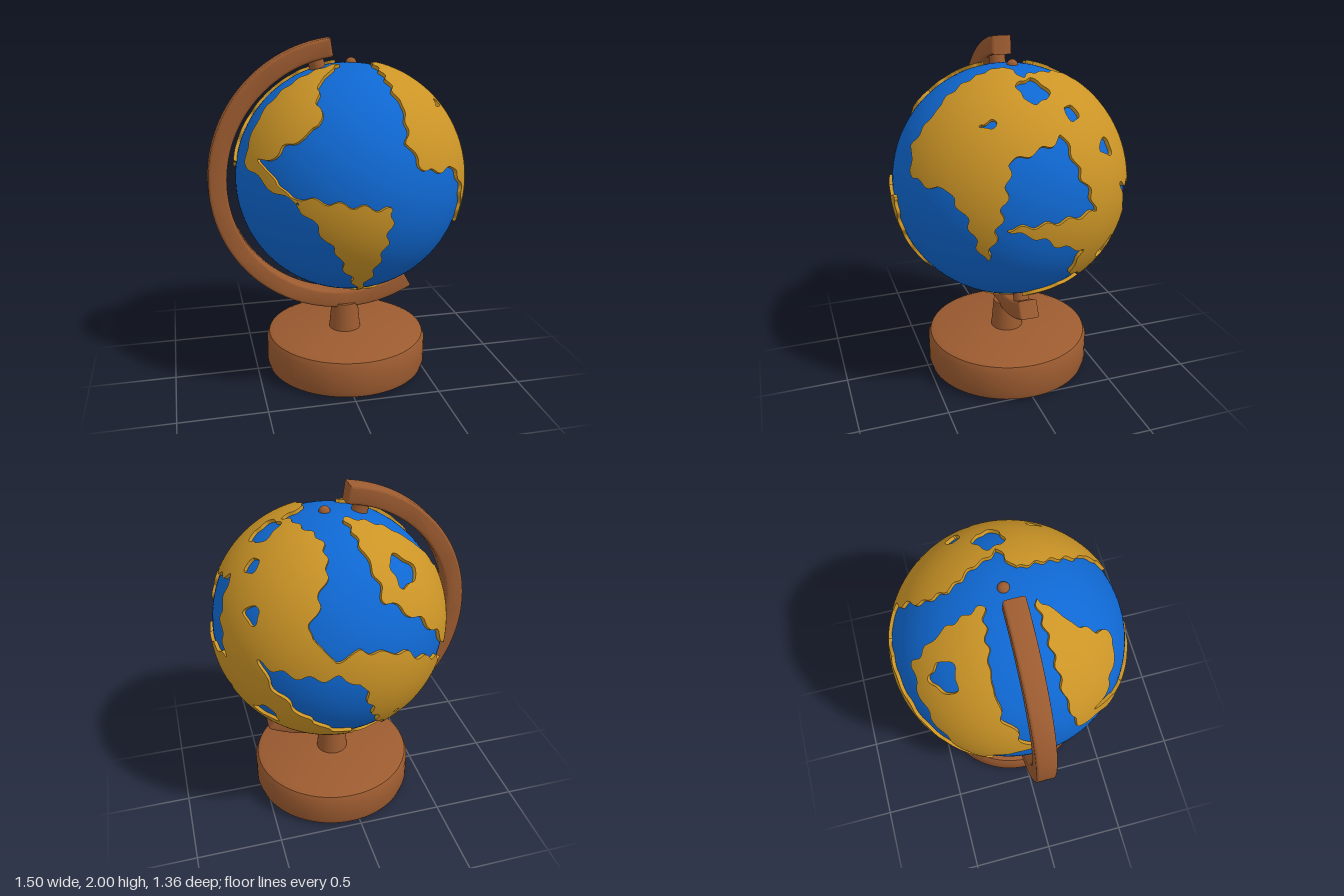
import * as THREE from 'three';
import { mergeVertices, toCreasedNormals } from 'three/addons/utils/BufferGeometryUtils.js';

const CENTRE = new THREE.Vector3(0.068, 1.2, 0);
const OCEAN_R = 0.66, LAND_R = 0.679;
const rad = THREE.MathUtils.degToRad;

// A coast chart is a flat disc (centre cx, cy, radius r) facing a heading and elevation.
// Outlines are x, y pairs; three numbers make a round island or lake (x, y, radius).
function chart(heading, elevation, cx, cy, r, land, sea) {
  const a = rad(heading), e = rad(elevation);
  const out = new THREE.Vector3(Math.sin(a) * Math.cos(e), Math.sin(e), Math.cos(a) * Math.cos(e));
  const right = new THREE.Vector3(Math.cos(a), 0, -Math.sin(a));
  return { cx, cy, r, land, sea, out, right, up: new THREE.Vector3().crossVectors(out, right) };
}

const americas = chart(0, 0, 252, 186, 127, [
  [240, 58, 206, 78, 213, 104, 148, 152, 180, 188, 115, 150],
  [174, 178, 267, 190, 262, 228, 246, 294, 214, 235],
  [276, 60, 350, 103, 284, 88],
  [290, 98, 380, 110, 355, 232, 350, 165, 302, 157, 283, 130],
], []);
const africaAsia = chart(90, 0, 686, 186, 127, [
  [590, 88, 680, 56, 770, 90, 815, 160, 785, 278, 712, 276, 728, 228, 645, 192, 735, 186, 704, 113, 650, 132, 628, 231, 597, 155, 571, 140],
], [[783, 188, 16], [636, 94, 10], [725, 93, 9], [756, 131, 9], [748, 239, 11]]);
const arctic = chart(0, 90, 1152, 224, 168, [
  [1005, 170, 1080, 85, 1120, 85, 1140, 190],
  [985, 265, 1135, 252, 1098, 290, 1072, 362],
  [1175, 55, 1285, 110, 1328, 220, 1197, 378, 1178, 240, 1212, 226, 1176, 152],
], [[1237, 220, 20], [1075, 131, 14], [1266, 180, 12], [1270, 295, 14]]);
const pacific = chart(213, 23, 678, 638, 115, [
  [556, 650, 572, 568, 640, 528, 601, 600],
  [615, 645, 690, 686, 738, 709, 690, 752, 612, 738, 574, 682],
  [648, 616, 664, 549, 700, 560, 771, 645, 727, 691],
], [[682, 600, 14]]);
const southern = chart(147, -28, 1125, 634, 115, [
  [1005, 625, 1035, 562, 1125, 517, 1220, 585, 1098, 570, 1170, 665, 1166, 690, 1069, 656],
  [1195, 610, 1214, 605, 1198, 710],
  [1176, 704, 12], [1100, 711, 36],
], [[1098, 632, 12], [1076, 722, 15]]);
const CHARTS = [americas, africaAsia, arctic, pacific, southern];

// Distance to an outline or disc, positive inside
function signedDistance(shape, x, y) {
  if (shape.length === 3) return shape[2] - Math.hypot(x - shape[0], y - shape[1]);
  let best = Infinity, inside = false;
  for (let i = 0, j = shape.length - 2; i < shape.length; j = i, i += 2) {
    const ax = shape[j], ay = shape[j + 1], dx = shape[i] - ax, dy = shape[i + 1] - ay;
    const t = THREE.MathUtils.clamp(((x - ax) * dx + (y - ay) * dy) / (dx * dx + dy * dy), 0, 1);
    best = Math.min(best, Math.hypot(x - ax - t * dx, y - ay - t * dy));
    if ((ay > y) !== (shape[i + 1] > y) && x < ax + dx * (y - ay) / dy) inside = !inside;
  }
  return inside ? best : -best;
}

// Land field over the sphere: wavy-edged charts blended by how squarely they face d
function landField(d) {
  let sum = 0, total = 0;
  for (const c of CHARTS) {
    const facing = d.dot(c.out);
    const u = c.cx + d.dot(c.right) * c.r, v = c.cy - d.dot(c.up) * c.r;
    const x = u + 2.5 * Math.sin(v * 0.3), y = v + 2.5 * Math.sin(u * 0.27);
    let f = -Infinity;
    for (const p of c.land) f = Math.max(f, signedDistance(p, x, y));
    for (const p of c.sea) f = Math.min(f, -signedDistance(p, x, y));
    const w = Math.exp(14 * facing);
    sum += w * THREE.MathUtils.clamp(f / c.r, -0.07, 0.07);
    total += w;
  }
  return sum / total;
}

// Raised continents: sphere triangles clipped at the coast, with a cliff along it
function continentGeometry() {
  let ball = new THREE.IcosahedronGeometry(1, 56);
  ball.deleteAttribute('uv');
  ball.deleteAttribute('normal');
  ball = mergeVertices(ball, 1e-5);
  const dirs = [], field = [], pos = [], nor = [];
  for (let i = 0; i < ball.attributes.position.count; i++) {
    dirs.push(new THREE.Vector3().fromBufferAttribute(ball.attributes.position, i).normalize());
    field.push(landField(dirs[i]));
  }
  const put = (d, r, n) => { pos.push(d.x * r, d.y * r, d.z * r); nor.push(n.x, n.y, n.z); };
  const index = ball.index.array, foot = OCEAN_R - 0.02;
  for (let t = 0; t < index.length; t += 3) {
    const ring = [];
    for (let k = 0; k < 3; k++) {
      const a = index[t + k], b = index[t + (k + 1) % 3];
      if (field[a] > 0) ring.push({ d: dirs[a] });
      if ((field[a] > 0) !== (field[b] > 0))
        ring.push({ d: dirs[a].clone().lerp(dirs[b], field[a] / (field[a] - field[b])).normalize(), coast: true });
    }
    for (let k = 1; k + 1 < ring.length; k++)
      for (const v of [ring[0], ring[k], ring[k + 1]]) put(v.d, LAND_R, v.d);
    for (let k = 0; k < ring.length; k++) {
      const a = ring[k], b = ring[(k + 1) % ring.length];
      if (!a.coast || !b.coast) continue;
      const n = b.d.clone().sub(a.d).cross(a.d).normalize();
      for (const [v, r] of [[a, foot], [b, foot], [b, LAND_R], [a, foot], [b, LAND_R], [a, LAND_R]]) put(v.d, r, n);
    }
  }
  const geo = new THREE.BufferGeometry();
  geo.setAttribute('position', new THREE.Float32BufferAttribute(pos, 3));
  geo.setAttribute('normal', new THREE.Float32BufferAttribute(nor, 3));
  return geo;
}

export function createModel() {
  const group = new THREE.Group();
  const material = (name, color, side = THREE.FrontSide) => Object.assign(new THREE.MeshStandardMaterial({ color, side }), { name });
  const wood = material('wood brown', 0x9c5b30);
  const water = material('ocean blue', 0x0f68d2);
  const gold = material('land gold', 0xcb9426, THREE.DoubleSide);
  const add = (name, geo, mat, x, y, z = 0) => {
    const mesh = new THREE.Mesh(geo, mat);
    mesh.name = name;
    mesh.position.set(x, y, z);
    group.add(mesh);
    return mesh;
  };

  // Globe
  add('ocean', new THREE.SphereGeometry(OCEAN_R, 96, 64), water, ...CENTRE);
  add('continents', continentGeometry(), gold, ...CENTRE);
  add('topNub', new THREE.SphereGeometry(0.032, 16, 12), wood, 0.086, 1.855, -0.018);

  // Curved arm
  const from = rad(98.5), to = rad(298.5), bevel = 0.015;
  const arc = new THREE.Shape();
  arc.absarc(0, 0, 0.81 - bevel, from, to, false);
  arc.absarc(0, 0, 0.705 + bevel, to, from, true);
  const arm = new THREE.ExtrudeGeometry(arc, { depth: 0.086, bevelSize: bevel, bevelThickness: bevel, bevelSegments: 3, curveSegments: 56 });
  arm.translate(0, 0, -0.043);
  add('arm', toCreasedNormals(arm, 0.6), wood, 0.06, 1.195);

  // Pins joining the arm to the globe
  for (const [name, deg] of [['upperPin', 105], ['lowerPin', 291]]) {
    const a = rad(deg);
    const pin = add(name, new THREE.CylinderGeometry(0.045, 0.045, 0.12, 24), wood, 0.06 + 0.69 * Math.cos(a), 1.195 + 0.69 * Math.sin(a));
    pin.rotation.z = a - Math.PI / 2;
  }

  // Stem and round base
  add('stem', new THREE.CylinderGeometry(0.08, 0.098, 0.19, 40), wood, 0.05, 0.315);
  const profile = [[0.285, 0], [0.45, 0], [0.48, 0.015], [0.49, 0.05], [0.49, 0.19], [0.475, 0.225], [0.445, 0.238], [0, 0.24]];
  const base = new THREE.LatheGeometry(profile.map(([x, y]) => new THREE.Vector2(x, y)), 72);
  add('base', toCreasedNormals(base, 0.7), wood, 0.055, 0);
  add('basePad', new THREE.CircleGeometry(0.286, 48).rotateX(Math.PI / 2), water, 0.055, 0);
  return group;
}
